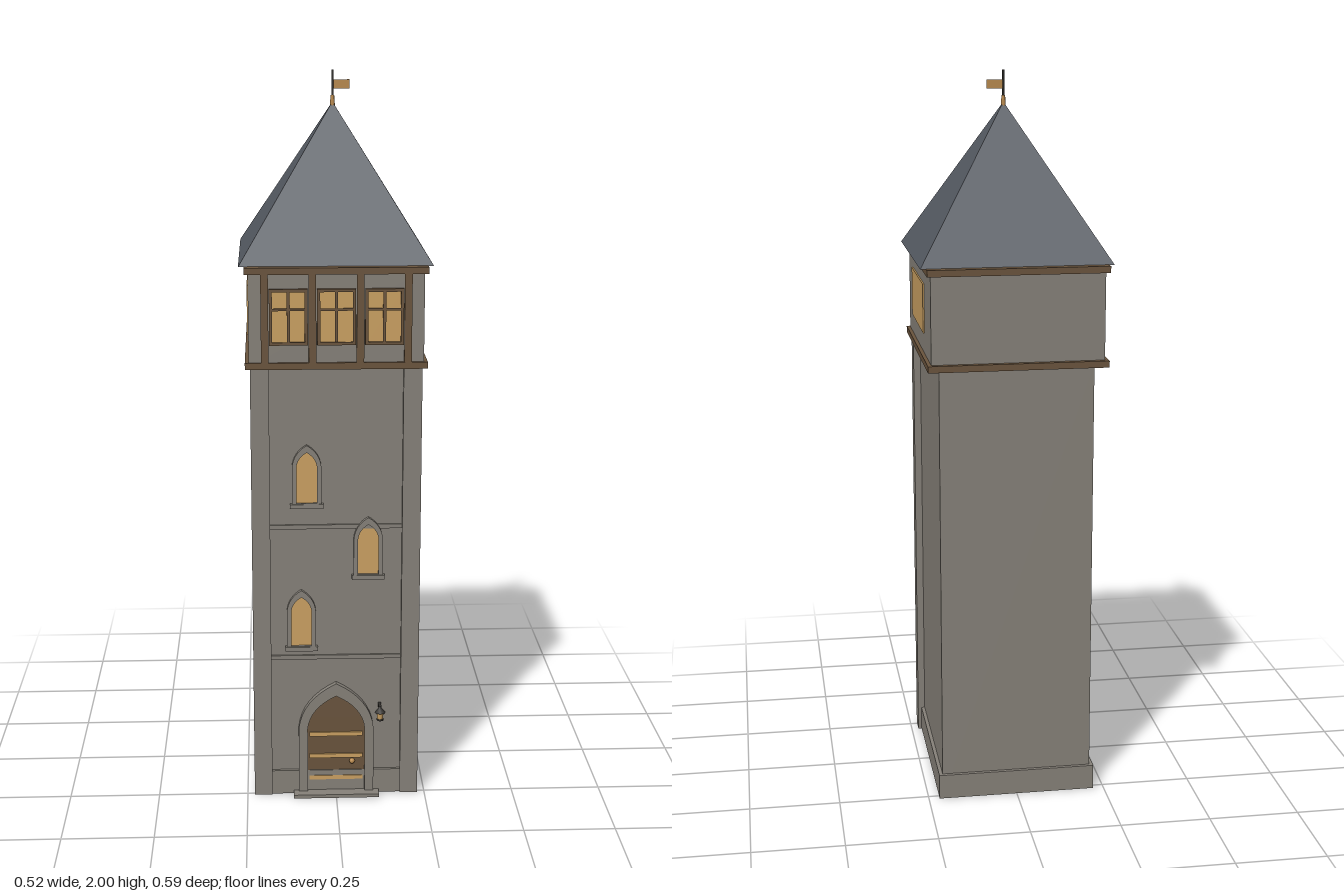
import * as THREE from 'three';

const mat = (name, color, extra = {}) => Object.assign(new THREE.MeshStandardMaterial({ color, ...extra }), { name });

export function createModel() {
  const root = new THREE.Group();
  root.name = 'tower';
  const stone = mat('stone', 0x87827a);
  const wood = mat('wood', 0x6b553e);
  const slate = mat('slate', 0x555a62);
  const glow = mat('warmGlass', 0xcca263);
  const brass = mat('brass', 0xb98a4e);
  const iron = mat('iron', 0x34322f);

  const add = (name, geo, material, parent = root) => {
    const m = new THREE.Mesh(geo, material);
    m.name = name;
    parent.add(m);
    return m;
  };
  // box given by its lower and upper limits on each axis
  const box = (name, material, x0, x1, y0, y1, z0, z1, parent = root) => {
    const m = add(name, new THREE.BoxGeometry(x1 - x0, y1 - y0, z1 - z0), material, parent);
    m.position.set((x0 + x1) / 2, (y0 + y1) / 2, (z0 + z1) / 2);
    return m;
  };
  // pointed arch outline: half width w, from y0 up to spring ys and apex ya
  const arch = (path, w, y0, ys, ya) => {
    path.moveTo(-w, y0);
    path.lineTo(w, y0);
    path.lineTo(w, ys);
    path.quadraticCurveTo(w * 0.92, ys + (ya - ys) * 0.65, 0, ya);
    path.quadraticCurveTo(-w * 0.92, ys + (ya - ys) * 0.65, -w, ys);
    path.closePath();
    return path;
  };
  const extrude = (shape, z0, z1) =>
    new THREE.ExtrudeGeometry(shape, { depth: z1 - z0, bevelEnabled: false, curveSegments: 8 }).translate(0, 0, z0);

  // shaft, plinth, front corner piers and string courses
  box('shaft', stone, -0.21, 0.21, 0, 1.24, -0.257, 0.245);
  box('plinth', stone, -0.22, 0.22, 0, 0.07, -0.267, 0.254);
  for (const s of [-1, 1]) {
    const x = s * 0.205;
    box('cornerPier', stone, x - 0.025, x + 0.025, 0, 1.24, 0.21, 0.26);
  }
  for (const y of [0.41, 0.79]) box('stringCourse', stone, -0.18, 0.18, y - 0.006, y + 0.006, 0.24, 0.25);

  // lancet windows, each with stone trim, pane and sill
  for (const [x, y] of [[-0.08, 0.845], [0.088, 0.64], [-0.096, 0.432]]) {
    const g = new THREE.Group();
    g.name = 'lancetWindow';
    g.position.set(x, y, 0);
    root.add(g);
    const trim = arch(new THREE.Shape(), 0.04, 0.01, 0.115, 0.177);
    trim.holes.push(arch(new THREE.Path(), 0.028, 0.014, 0.115, 0.157));
    add('windowTrim', extrude(trim, 0.24, 0.257), stone, g);
    add('windowPane', extrude(arch(new THREE.Shape(), 0.028, 0.014, 0.115, 0.157), 0.243, 0.249), glow, g);
    box('windowSill', stone, -0.045, 0.045, 0, 0.012, 0.24, 0.26, g);
  }

  // door with stone surround, strap hinges, handle and step
  const surround = arch(new THREE.Shape(), 0.105, 0, 0.2, 0.335);
  surround.holes.push(arch(new THREE.Path(), 0.08, 0.002, 0.2, 0.298));
  add('doorSurround', extrude(surround, 0.24, 0.263), stone);
  add('door', extrude(arch(new THREE.Shape(), 0.08, 0.002, 0.2, 0.298), 0.242, 0.2515), wood);
  for (const y of [0.048, 0.114, 0.18]) box('doorStrap', glow, -0.075, 0.075, y - 0.006, y + 0.006, 0.25, 0.256);
  add('doorHandle', new THREE.SphereGeometry(0.008, 10, 8), brass).position.set(0.045, 0.098, 0.256);
  box('doorStep', stone, -0.12, 0.12, 0, 0.01, 0.25, 0.288);

  // wall lantern
  const lantern = new THREE.Group();
  lantern.name = 'lantern';
  lantern.position.set(0.122, 0, 0.277);
  root.add(lantern);
  box('lanternBracket', iron, -0.004, 0.004, 0.262, 0.27, -0.035, 0, lantern);
  add('lanternCap', new THREE.ConeGeometry(0.016, 0.018, 8), iron, lantern).position.y = 0.263;
  add('lanternGlass', new THREE.CylinderGeometry(0.01, 0.008, 0.022, 8), glow, lantern).position.y = 0.245;
  add('lanternBase', new THREE.CylinderGeometry(0.01, 0.01, 0.005, 8), iron, lantern).position.y = 0.233;

  // upper room with timber bands above and below
  box('upperRoom', stone, -0.233, 0.233, 1.24, 1.5, -0.282, 0.263);
  for (const y of [1.234, 1.488]) box('timberBand', wood, -0.243, 0.243, y, y + 0.018, -0.296, 0.27);
  for (const x of [-0.19, -0.0635, 0.0635, 0.19]) box('timberPost', wood, x - 0.01, x + 0.01, 1.25, 1.49, 0.26, 0.269);

  // front mullioned windows
  for (const x of [-0.127, 0, 0.127]) {
    const g = new THREE.Group();
    g.name = 'frontWindow';
    g.position.set(x, 1.375, 0);
    root.add(g);
    box('frontPane', glow, -0.045, 0.045, -0.068, 0.068, 0.26, 0.267, g);
    for (const s of [-1, 1]) {
      box('frameSide', wood, s * 0.047 - 0.004, s * 0.047 + 0.004, -0.074, 0.074, 0.26, 0.273, g);
      box('frameRail', wood, -0.051, 0.051, s * 0.071 - 0.004, s * 0.071 + 0.004, 0.26, 0.273, g);
    }
    box('mullion', wood, -0.004, 0.004, -0.07, 0.07, 0.26, 0.271, g);
    box('transom', wood, -0.047, 0.047, 0.017, 0.023, 0.26, 0.271, g);
  }

  // large side panes
  for (const s of [-1, 1]) {
    const x = s * 0.234;
    box('sidePane', glow, x - 0.003, x + 0.003, 1.308, 1.443, -0.127, 0.16);
  }

  // pyramid roof
  const roof = new THREE.ConeGeometry(0.258 * Math.SQRT2, 0.41, 4, 1).rotateY(Math.PI / 4).toNonIndexed();
  roof.computeVertexNormals();
  add('roof', roof, slate).position.set(0, 1.71, -0.013);

  // finial and pennant
  add('finialPole', new THREE.CylinderGeometry(0.003, 0.003, 0.1, 8), iron).position.set(0, 1.95, -0.013);
  add('finialSocket', new THREE.CylinderGeometry(0.005, 0.007, 0.03, 8), brass).position.set(0, 1.917, -0.013);
  box('pennant', brass, 0.002, 0.046, 1.95, 1.974, -0.0145, -0.0115);

  return root;
}
